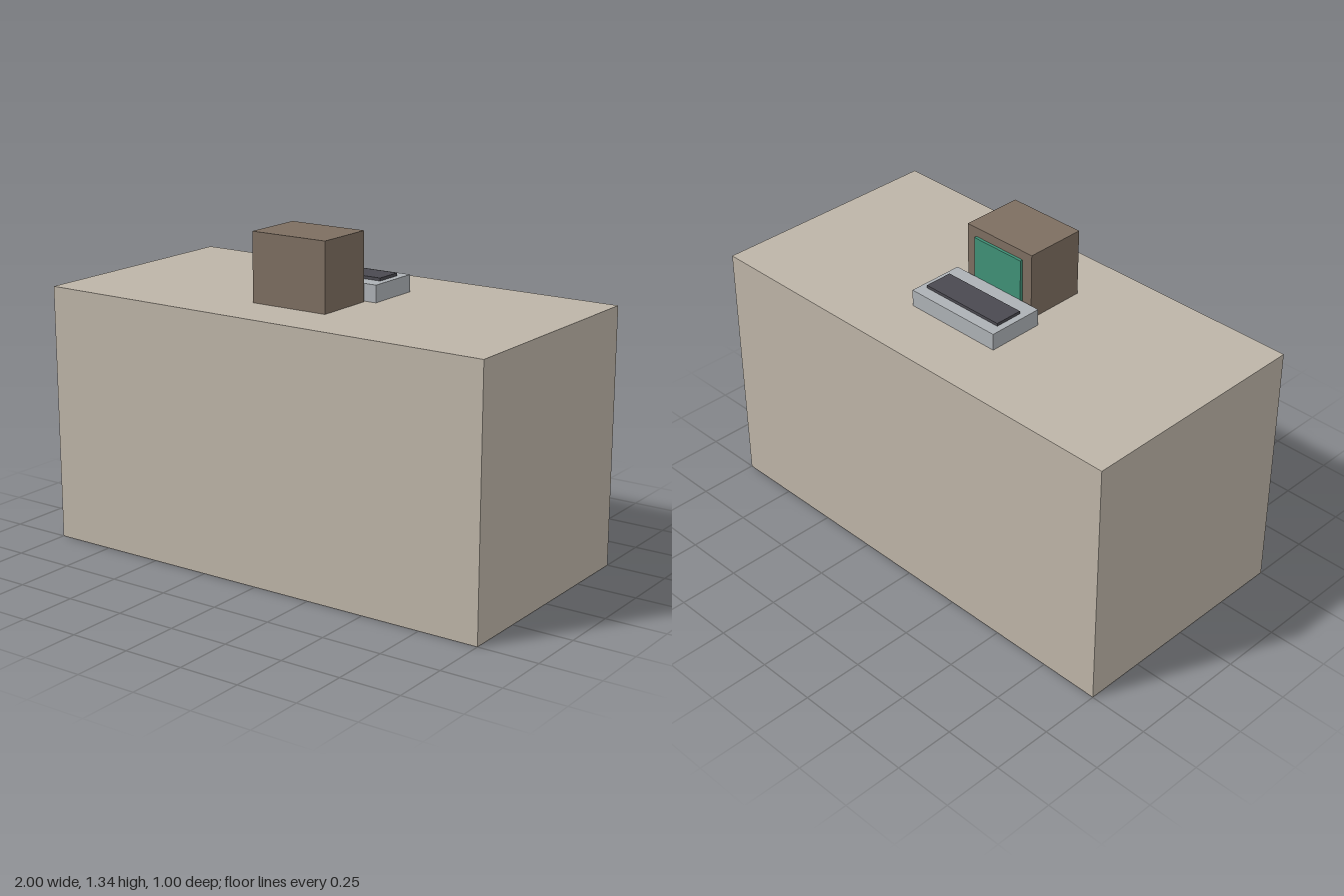
import * as THREE from 'three';

// Adds a named box spanning the given [min, max] ranges.
function addBox(group, name, color, [x0, x1], [y0, y1], [z0, z1]) {
  const mesh = new THREE.Mesh(
    new THREE.BoxGeometry(x1 - x0, y1 - y0, z1 - z0),
    new THREE.MeshStandardMaterial({ color })
  );
  mesh.name = name;
  mesh.position.set((x0 + x1) / 2, (y0 + y1) / 2, (z0 + z1) / 2);
  group.add(mesh);
}

export function createModel() {
  const model = new THREE.Group();
  model.name = 'checkoutCounter';

  // Solid counter block
  addBox(model, 'counter', 0xbdb4a7, [-1, 1], [0, 1.06], [-0.5, 0.5]);

  // Monitor with its screen facing the back
  const monitor = new THREE.Group();
  monitor.name = 'monitor';
  addBox(monitor, 'monitorCase', 0x7d6e60, [-0.17, 0.17], [1.06, 1.34], [0.012, 0.271]);
  addBox(monitor, 'screen', 0x3f9076, [-0.123, 0.123], [1.12, 1.302], [0, 0.014]);
  model.add(monitor);

  // Keyboard tray behind the monitor, with a raised key panel
  const keyboard = new THREE.Group();
  keyboard.name = 'keyboard';
  addBox(keyboard, 'keyboardBase', 0xadb1b5, [-0.218, 0.218], [1.06, 1.13], [-0.24, 0]);
  addBox(keyboard, 'keyPanel', 0x4a4950, [-0.19, 0.19], [1.125, 1.142], [-0.19, -0.07]);
  model.add(keyboard);

  return model;
}
